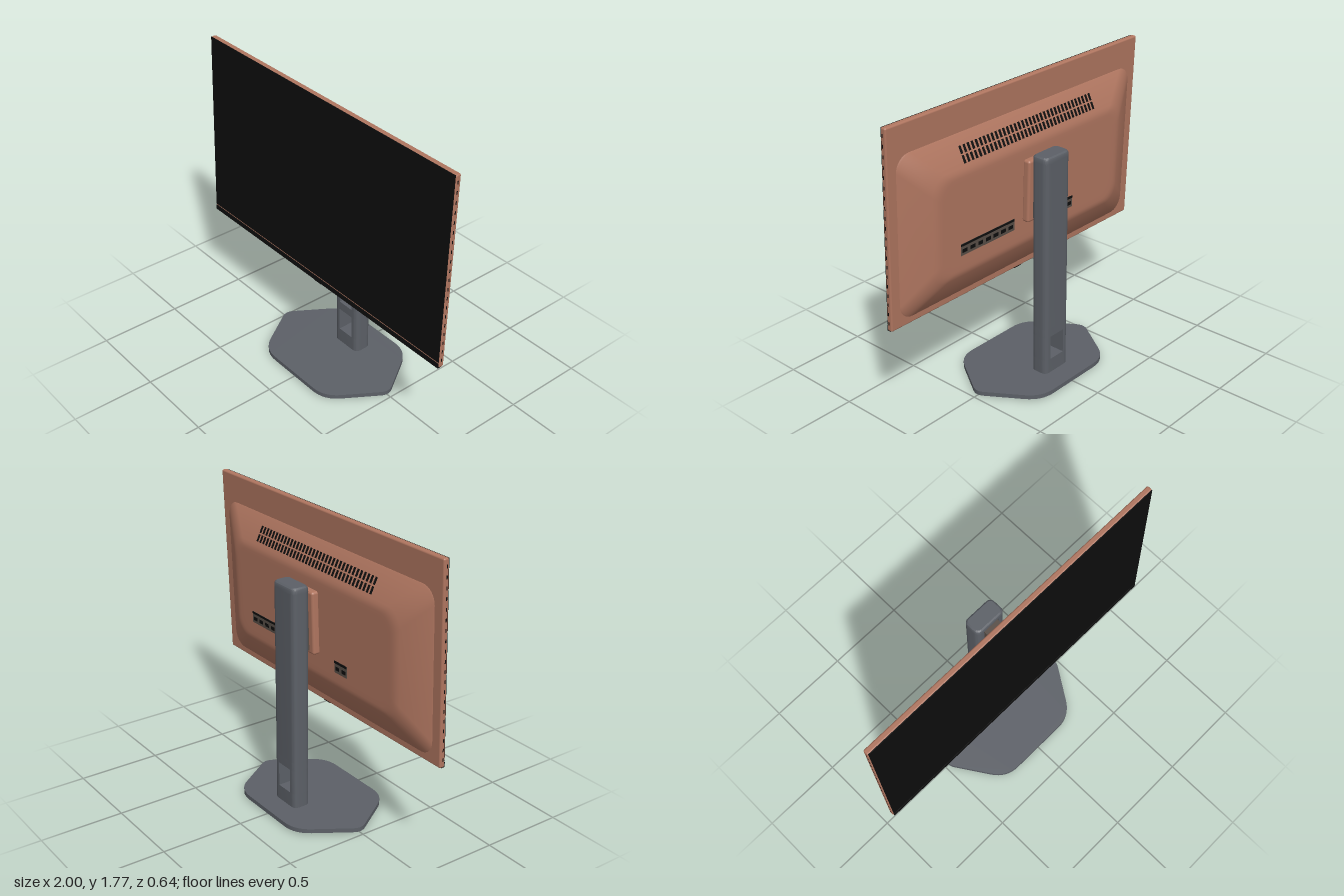
import * as THREE from 'three';
import { mergeGeometries, toCreasedNormals } from 'three/addons/utils/BufferGeometryUtils.js';
import { RoundedBoxGeometry } from 'three/addons/geometries/RoundedBoxGeometry.js';

const material = (name, color) => {
  const m = new THREE.MeshStandardMaterial({ color });
  m.name = name;
  return m;
};

// Closed shape from corners [x, y, radius], counter-clockwise
function roundedShape(corners) {
  const shape = new THREE.Shape();
  const n = corners.length;
  corners.forEach(([x, y, r = 0], i) => {
    const p = new THREE.Vector2(x, y);
    const toward = (c) => new THREE.Vector2(c[0], c[1]).sub(p).setLength(r).add(p);
    const a = toward(corners[(i + n - 1) % n]);
    const b = toward(corners[(i + 1) % n]);
    if (i === 0) shape.moveTo(a.x, a.y);
    else shape.lineTo(a.x, a.y);
    if (r > 0) shape.quadraticCurveTo(x, y, b.x, b.y);
  });
  shape.closePath();
  return shape;
}

// Footprint extruded upward from y0 to y1 (shape y becomes -z)
function upright(corners, y0, y1) {
  const g = new THREE.ExtrudeGeometry(roundedShape(corners), { depth: y1 - y0, bevelEnabled: false, curveSegments: 8 });
  g.rotateX(-Math.PI / 2).translate(0, y0, 0);
  return toCreasedNormals(g, 0.5);
}

// Stack of rounded rectangles [halfWidth, halfHeight, radius, z], capped at the end
function loft(rings, seg = 8) {
  const pos = [];
  const index = [];
  const n = 4 * (seg + 1);
  for (const [w, h, r, z] of rings) {
    for (let c = 0; c < 4; c++) {
      const sx = c === 0 || c === 3 ? 1 : -1;
      const sy = c < 2 ? 1 : -1;
      for (let s = 0; s <= seg; s++) {
        const a = (c + s / seg) * Math.PI / 2;
        pos.push(sx * (w - r) + r * Math.cos(a), sy * (h - r) + r * Math.sin(a), z);
      }
    }
  }
  for (let k = 0; k < rings.length - 1; k++) {
    for (let i = 0; i < n; i++) {
      const a = k * n + i, b = k * n + (i + 1) % n;
      index.push(a, b, b + n, a, b + n, a + n);
    }
  }
  const last = (rings.length - 1) * n;
  pos.push(0, 0, rings[rings.length - 1][3]);
  for (let i = 0; i < n; i++) index.push(rings.length * n, last + i, last + (i + 1) % n);
  const g = new THREE.BufferGeometry();
  g.setAttribute('position', new THREE.Float32BufferAttribute(pos, 3));
  g.setIndex(index);
  return toCreasedNormals(g, 0.45);
}

const box = (w, h, d, x, y, z) => new THREE.BoxGeometry(w, h, d).translate(x, y, z);

export function createModel() {
  const copper = material('copper casing', 0xb07660);
  const grey = material('slate grey', 0x5c6067);
  const black = material('screen black', 0x0d0d0d);
  const taupe = material('dark taupe', 0x584e47);

  const model = new THREE.Group();
  const add = (parent, name, geometry, mat) => {
    const mesh = new THREE.Mesh(geometry, mat);
    mesh.name = name;
    parent.add(mesh);
    return mesh;
  };

  // Base plate: hexagon with rounded corners, on six pads
  add(model, 'basePlate', upright([
    [0.49, 0, 0.05], [0.28, 0.32, 0.1], [-0.28, 0.32, 0.1],
    [-0.49, 0, 0.05], [-0.28, -0.32, 0.1], [0.28, -0.32, 0.1],
  ], 0.009, 0.035), grey);
  const pads = [];
  for (const [x, z] of [[0.4, 0], [0.22, 0.25], [0.22, -0.25]]) {
    for (const s of [1, -1]) pads.push(box(0.06, 0.012, 0.035, s * x, 0.006, z));
  }
  add(model, 'basePads', mergeGeometries(pads), black);

  // Column: solid foot, cable opening, then a channel open to the front
  const F = 0.08, B = 0.19, W = 0.1, R = 0.035;
  const solid = [[-W, F, R], [W, F, R], [W, B, R], [-W, B, R]];
  const channel = [[-W, F, R], [-0.055, F], [-0.055, 0.11], [0.055, 0.11], [0.055, F], [W, F, R], [W, B, R], [-W, B, R]];
  const column = new THREE.Group();
  column.name = 'column';
  model.add(column);
  add(column, 'columnFoot', upright(solid, 0.03, 0.125), grey);
  add(column, 'openingLeft', upright([[0.055, F], [W, F, R], [W, B, R], [0.055, B]], 0.125, 0.275), grey);
  add(column, 'openingRight', upright([[-W, F, R], [-0.055, F], [-0.055, B], [-W, B, R]], 0.125, 0.275), grey);
  add(column, 'columnBridge', upright(solid, 0.275, 0.33), grey);
  add(column, 'columnChannel', upright(channel, 0.33, 1.355), grey);
  add(column, 'columnCap', loft([
    [W, 0.055, 0.03, 0], [W, 0.055, 0.03, 0.02], [0.097, 0.052, 0.028, 0.028], [0.089, 0.044, 0.022, 0.035],
  ]).rotateX(-Math.PI / 2).translate(0, 1.355, -0.135), grey);
  add(column, 'channelLining', box(0.108, 1.02, 0.006, 0, 0.843, -0.108), taupe);
  add(column, 'slideCarriage', box(0.1, 0.35, 0.065, 0, 1.16, -0.076), taupe);

  // Display head, leaning back slightly
  const head = new THREE.Group();
  head.name = 'displayHead';
  head.position.set(0, 1.192, 0.097);
  head.rotation.x = -0.033;
  model.add(head);
  add(head, 'casing', new RoundedBoxGeometry(2, 1.155, 0.035, 3, 0.01), copper);
  add(head, 'screen', box(1.99, 1.117, 0.006, 0, 0.016, 0.0165), black);
  add(head, 'chin', box(1.99, 0.03, 0.024, 0, -0.565, 0.0085), black);
  add(head, 'sensor', box(0.06, 0.012, 0.02, 0, -0.582, 0.006), black);

  // Dark notches along the side edges
  const notches = [];
  for (let i = 0; i < 20; i++) {
    for (const s of [1, -1]) notches.push(box(0.003, 0.02, 0.006, s * 0.9995, -0.53 + i * 0.056, 0.003));
  }
  add(head, 'edgeNotches', mergeGeometries(notches), black);

  // Rear housing with sloped sides
  const cy = -0.065;
  add(head, 'rearHousing', loft([
    [0.94, 0.475, 0.09, 0.015], [0.932, 0.467, 0.09, 0.023], [0.77, 0.318, 0.1, 0.1],
    [0.752, 0.302, 0.1, 0.107], [0.73, 0.285, 0.1, 0.111], [0.71, 0.27, 0.1, 0.112], [0.68, 0.24, 0.1, 0.112],
  ]).rotateY(Math.PI).translate(0, cy, 0), copper);

  // Vent slots on the upper slope
  const slots = [];
  for (let i = 0; i < 36; i++) {
    for (const row of [-1, 1]) slots.push(box(0.015, 0.043, 0.004, (i - 17.5) * 0.03, row * 0.026, 0));
  }
  const vents = add(head, 'ventSlots', mergeGeometries(slots), black);
  const from = new THREE.Vector2(0.467, -0.023), to = new THREE.Vector2(0.318, -0.1);
  const mid = from.clone().lerp(to, 0.62);
  vents.position.set(0, cy + mid.x, mid.y);
  vents.rotation.x = Math.atan2(to.y - from.y, to.x - from.x);

  // Port bays on the back: lining with small sockets
  for (const [name, x, y, w, count] of [['mainPortBay', 0.37, -0.215, 0.42, 7], ['sidePortBay', -0.285, -0.245, 0.11, 2]]) {
    add(head, name, box(w, 0.07, 0.004, x, y, -0.1125), taupe);
    const sockets = [box(w, 0.014, 0.004, x, y + 0.028, -0.1135)];
    for (let i = 0; i < count; i++) {
      sockets.push(box(0.6 * w / count, 0.022, 0.004, x + w * ((i + 0.5) / count - 0.5), y - 0.008, -0.1135));
    }
    add(head, name + 'Sockets', mergeGeometries(sockets), black);
  }

  // Mounting block between the housing and the column
  add(head, 'mountBlock', new RoundedBoxGeometry(0.18, 0.375, 0.05, 4, 0.015).translate(0, -0.035, -0.127), copper);

  return model;
}
